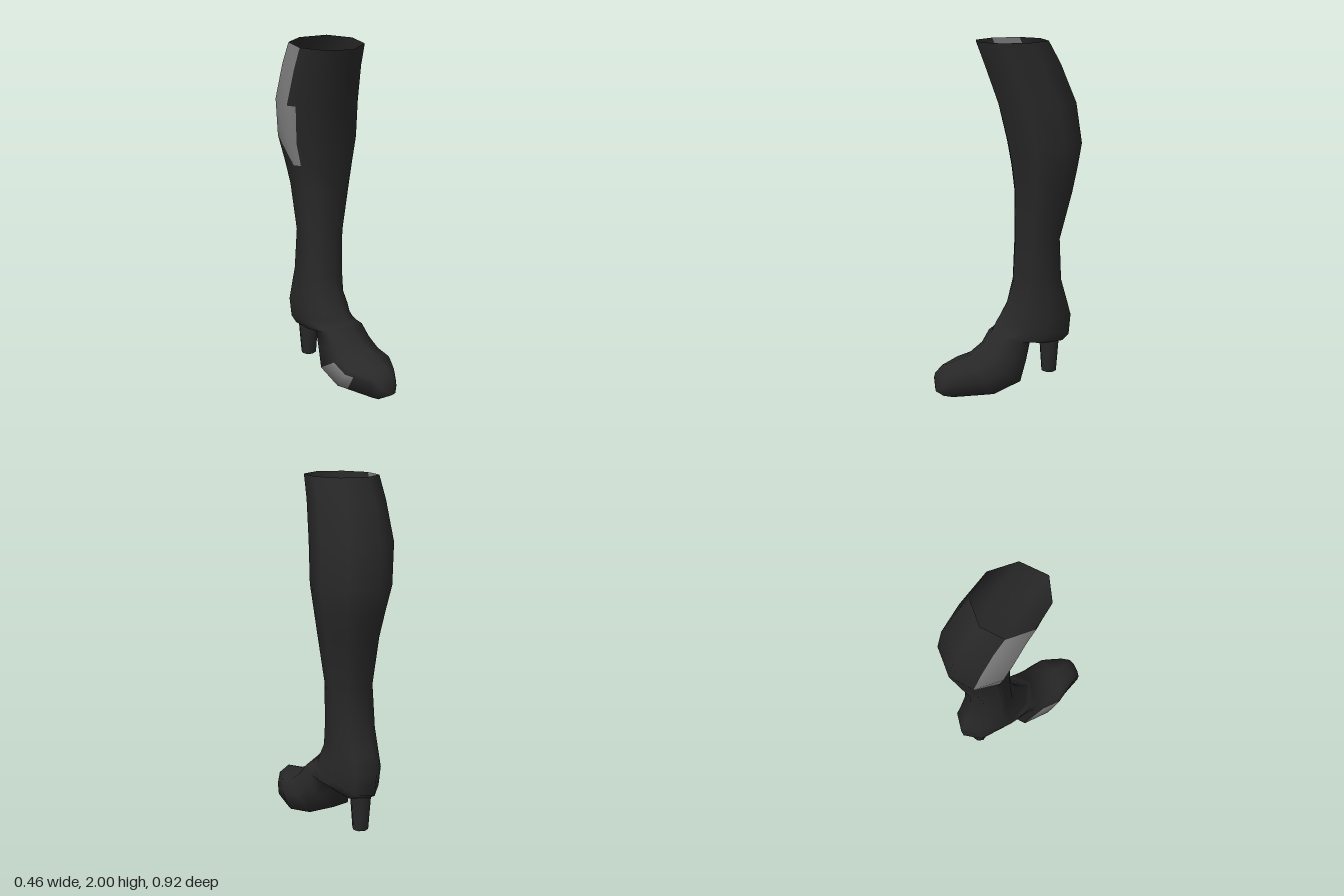
import * as THREE from 'three';
import { toCreasedNormals } from 'three/addons/utils/BufferGeometryUtils.js';

// Cross-section, front point first, then round by the left side: [across, front-to-back]
const SECTION = [
  [0.09, 1], [0.82, 0.59], [1, -0.18], [0.61, -0.85], [-0.22, -1],
  [-0.84, -0.66], [-1, 0.08], [-0.87, 0.28], [-0.61, 0.71],
];
// Shaft rings: height, front z, back z, min x, max x
const SHAFT = [
  [2, 0.158, -0.272, -0.23, 0.155],
  [1.87, 0.11, -0.345, -0.23, 0.172],
  [1.65, 0.035, -0.432, -0.23, 0.21],
  [1.42, -0.015, -0.458, -0.2, 0.23],
  [1.28, -0.038, -0.434, -0.165, 0.21],
  [1.13, -0.055, -0.405, -0.135, 0.185],
  [0.85, -0.065, -0.345, -0.12, 0.13],
  [0.6, -0.055, -0.363, -0.13, 0.125],
  [0.47, -0.015, -0.412, -0.132, 0.118],
];
// Tilted foot rings, heel cup to toe: front z, front y, back z, back y, min x, max x
const FOOT = [
  [0.03, 0.41, -0.442, 0.37, -0.14, 0.13],
  [0.053, 0.38, -0.43, 0.24, -0.136, 0.132],
  [0.07, 0.355, -0.38, 0.21, -0.132, 0.138],
  [0.085, 0.335, -0.25, 0.215, -0.125, 0.145],
  [0.1, 0.315, -0.135, 0.255, -0.118, 0.152],
  [0.15, 0.255, -0.09, 0.155, -0.114, 0.167],
  [0.23, 0.22, -0.035, 0.04, -0.115, 0.178],
  [0.3, 0.205, 0.15, 0.005, -0.12, 0.192],
  [0.33, 0.198, 0.22, 0.006, -0.097, 0.174],
  [0.39, 0.185, 0.385, 0.01, -0.045, 0.13],
  [0.44, 0.14, 0.43, 0.015, -0.03, 0.1],
];
const N = SECTION.length;

// Lighter areas: a strip on the right of the shaft and one low on the right of the foot
function isPanel(row, col) {
  if (col === 5) return row < 4 || row === 15 || row === 16;
  return col === 6 && (row === 2 || row === 3);
}

function shellGeometry() {
  const points = [], main = [], panel = [];
  const rings = SHAFT.map(([y, fz, bz, x0, x1]) => [fz, y, bz, y, x0, x1]).concat(FOOT);
  rings.forEach(([fz, fy, bz, by, x0, x1], i) => {
    // Towards the ball of the foot the underside flattens and the foot turns out
    const flat = THREE.MathUtils.smoothstep(i, 12, 16);
    for (const [u, v] of SECTION) {
      const under = v < -0.5 ? flat : 0;
      const wide = Math.abs(u) > 0.5 ? Math.sign(u) * 0.95 : u;
      const a = THREE.MathUtils.lerp(u, wide, under);
      const t = THREE.MathUtils.lerp(v, -1, under);
      const dz = t * (fz - bz) / 2;
      points.push(
        (x0 + x1) / 2 + a * (x1 - x0) / 2 + 0.08 * flat * dz,
        (fy + by) / 2 + t * (fy - by) / 2,
        (fz + bz) / 2 + dz,
      );
    }
  });
  for (let i = 0; i < rings.length - 1; i++) {
    for (let j = 0; j < N; j++) {
      const k = (j + 1) % N;
      const a = i * N + j, b = i * N + k, c = b + N, d = a + N;
      const list = isPanel(i, j) ? panel : main;
      // The strip on the shaft ends in a point
      (i === 3 && j === 5 ? main : list).push(a, d, c);
      list.push(a, c, b);
    }
  }
  // Toe cap
  const last = (rings.length - 1) * N, tip = points.length / 3;
  points.push(0.048, 0.03, 0.458);
  for (let j = 0; j < N; j++) main.push(last + j, tip, last + (j + 1) % N);

  const geometry = new THREE.BufferGeometry();
  geometry.setAttribute('position', new THREE.Float32BufferAttribute(points, 3));
  geometry.setIndex([...main, ...panel]);
  geometry.addGroup(0, main.length, 0);
  geometry.addGroup(main.length, panel.length, 1);
  geometry.computeVertexNormals();
  return geometry;
}

export function createModel() {
  const black = new THREE.MeshStandardMaterial({ color: 0x282828, side: THREE.DoubleSide });
  black.name = 'black leather';
  const grey = new THREE.MeshStandardMaterial({ color: 0x808080, side: THREE.DoubleSide });
  grey.name = 'grey leather';

  const boot = new THREE.Group();
  boot.name = 'boot';

  // Open shaft, heel cup and foot in one skin
  const shell = new THREE.Mesh(shellGeometry(), [black, grey]);
  shell.name = 'shaftAndFoot';
  boot.add(shell);

  // Tapered heel post
  const post = toCreasedNormals(new THREE.CylinderGeometry(0.066, 0.046, 0.27, 8), 1.05);
  const heel = new THREE.Mesh(post, black);
  heel.name = 'heel';
  heel.position.set(-0.015, 0.14, -0.312);
  boot.add(heel);

  return boot;
}
